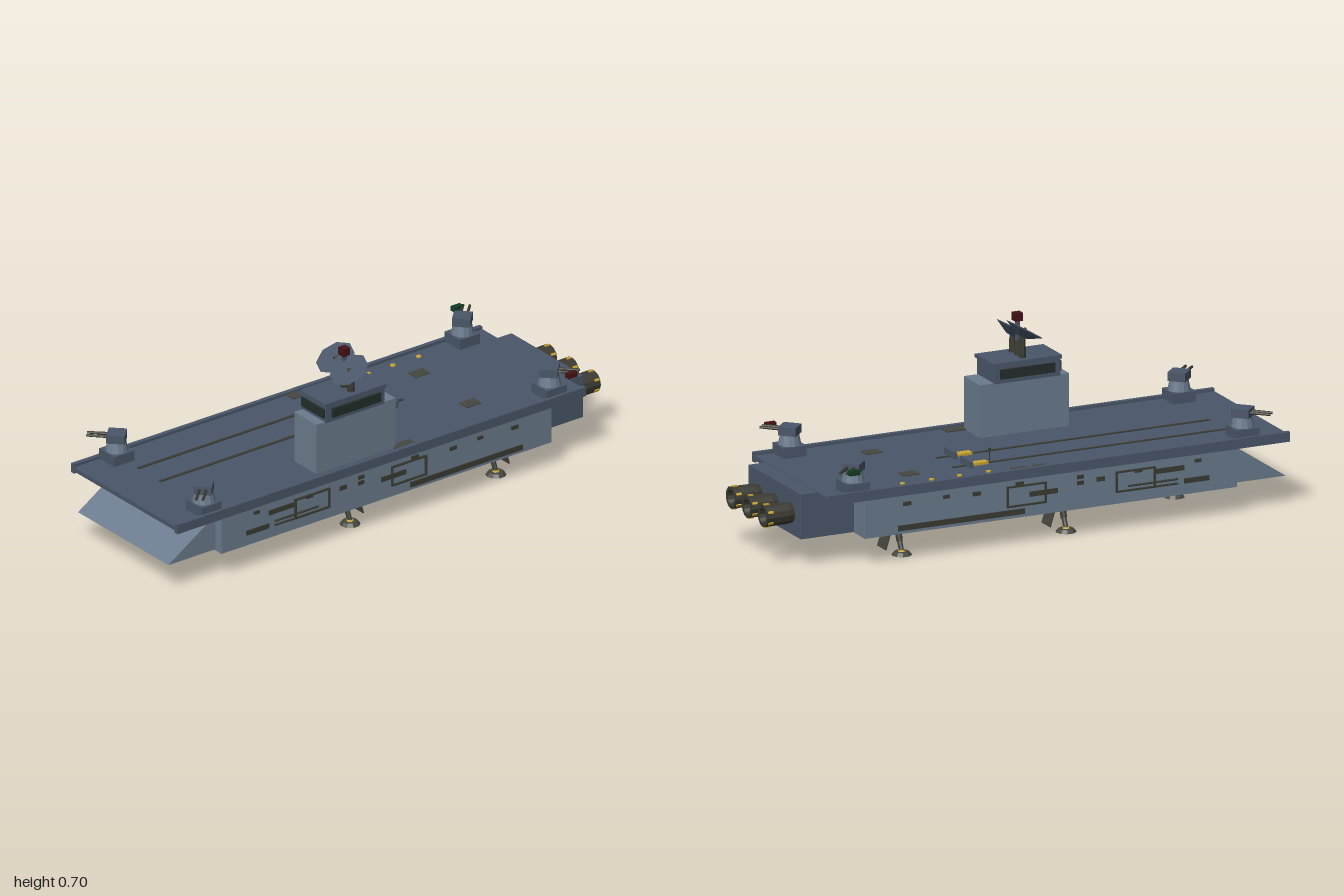
import * as THREE from 'three';

const mat = (color) => new THREE.MeshStandardMaterial({ color, flatShading: true });

export function createModel() {
  const hullMat = mat(0x6b7b8d), deckMat = mat(0x4a5769), darkMat = mat(0x3b3b33), padMat = mat(0x45463f),
    gold = mat(0xc9a632), glass = mat(0x232d2b), red = mat(0x451216), green = mat(0x123c24);
  const model = new THREE.Group();
  model.name = 'carrierShip';

  const add = (name, geo, m, x, y, z, parent = model) => {
    const mesh = new THREE.Mesh(geo, m);
    mesh.name = name;
    mesh.position.set(x, y, z);
    parent.add(mesh);
    return mesh;
  };
  // Box given by its extents
  const box = (name, m, x0, x1, y0, y1, z0, z1, parent) => add(name, new THREE.BoxGeometry(x1 - x0, y1 - y0, z1 - z0),
    m, (x0 + x1) / 2, (y0 + y1) / 2, (z0 + z1) / 2, parent);
  const cyl = (name, m, rTop, rBottom, h, sides, x, y, z, parent) =>
    add(name, new THREE.CylinderGeometry(rTop, rBottom, h, sides), m, x, y, z, parent);
  // Tapered rod between two points
  const rod = (name, m, a, b, ra, rb, parent) => {
    const p = new THREE.Vector3(...a), q = new THREE.Vector3(...b), d = q.clone().sub(p);
    const mesh = cyl(name, m, rb, ra, d.length(), 8, 0, 0, 0, parent);
    mesh.position.copy(p).add(q).multiplyScalar(0.5);
    mesh.quaternion.setFromUnitVectors(new THREE.Vector3(0, 1, 0), d.normalize());
    return mesh;
  };

  // Hull, bow ramp and stern block
  box('hull', hullMat, -0.3, 0.3, 0.103, 0.256, -0.68, 0.79);
  const wedge = new THREE.Shape([[0.78, 0.108], [1, 0.108], [0.79, 0.244], [0.78, 0.244]].map((p) => new THREE.Vector2(...p)));
  const wedgeGeo = new THREE.ExtrudeGeometry(wedge, { depth: 0.53, bevelEnabled: false }).rotateY(-Math.PI / 2).translate(0.265, 0, 0);
  add('bowRamp', wedgeGeo, hullMat, 0, 0, 0);
  box('sternBlock', deckMat, -0.21, 0.21, 0.105, 0.27, -0.89, -0.67);

  // Flight deck with raised side edges
  box('deckUnderside', deckMat, -0.3, 0.3, 0.247, 0.26, -0.81, 0.98);
  box('flightDeck', deckMat, -0.31, 0.31, 0.256, 0.272, -0.825, 0.995);
  for (const s of [-1, 1]) add('deckEdge', new THREE.BoxGeometry(0.017, 0.036, 1.82), deckMat, s * 0.3035, 0.265, 0.085);

  // Launch tracks, shuttles and blast deflectors
  for (const x of [-0.15, -0.02]) {
    box('launchTrack', darkMat, x - 0.006, x + 0.006, 0.27, 0.275, -0.26, 0.82);
    box('shuttle', gold, x - 0.015, x + 0.015, 0.27, 0.281, -0.18, -0.125);
    box('blastDeflector', deckMat, x - 0.042, x + 0.042, 0.27, 0.298, -0.21, -0.2);
  }
  rod('deckMast', darkMat, [-0.12, 0.27, -0.1], [-0.12, 0.312, -0.1], 0.002, 0.002);
  box('deckMastHead', darkMat, -0.124, -0.116, 0.309, 0.316, -0.104, -0.096);

  // Deck hatches, pads and lamps
  for (const x of [-0.15, 0.15]) box('deckHatch', padMat, x - 0.024, x + 0.024, 0.27, 0.275, -0.465, -0.4);
  box('deckPad', padMat, -0.298, -0.254, 0.27, 0.276, -0.085, -0.025);
  box('deckPad', padMat, -0.298, -0.254, 0.27, 0.276, 0.005, 0.05);
  box('deckPad', padMat, 0.25, 0.293, 0.27, 0.276, -0.085, 0);
  for (const z of [-0.51, -0.395, -0.285, -0.17]) cyl('deckLamp', gold, 0.01, 0.01, 0.006, 8, -0.255, 0.274, z);

  // Island tower and bridge
  const island = new THREE.Group();
  island.name = 'island';
  model.add(island);
  box('tower', hullMat, 0.137, 0.268, 0.27, 0.467, -0.01, 0.342, island);
  box('bridge', deckMat, 0.131, 0.275, 0.465, 0.53, 0.045, 0.305, island);
  box('bridgeSideWindows', glass, 0.122, 0.284, 0.482, 0.517, 0.065, 0.28, island);
  box('bridgeFrontWindow', glass, 0.137, 0.268, 0.482, 0.517, 0.29, 0.312, island);
  box('bridgeRoof', deckMat, 0.128, 0.278, 0.528, 0.541, 0.038, 0.31, island);

  // Posts, tilted dishes and beacon
  for (const [x, y] of [[0.163, 0.643], [0.243, 0.626]]) {
    cyl('dishPost', darkMat, 0.011, 0.014, y - 0.555, 8, x, (y + 0.525) / 2, 0.17, island);
    const dish = cyl('dish', deckMat, 0.075, 0.02, 0.028, 8, x, y - 0.012, 0.172, island);
    dish.rotation.x = Math.PI / 6;
    cyl('dishFeed', darkMat, 0.003, 0.01, 0.008, 6, 0, 0.017, 0, dish);
  }
  cyl('mastPost', darkMat, 0.011, 0.014, 0.06, 8, 0.203, 0.565, 0.17, island);
  box('mast', deckMat, 0.196, 0.21, 0.585, 0.67, 0.163, 0.177, island);
  box('beacon', red, 0.188, 0.218, 0.667, 0.697, 0.155, 0.185, island);

  // Corner gun turrets
  for (const sx of [-1, 1]) for (const [z, sz] of [[0.835, 1], [-0.705, -1]]) {
    const turret = new THREE.Group();
    turret.name = 'turret';
    turret.position.set(sx * 0.255, 0, z);
    model.add(turret);
    box('turretBase', deckMat, -0.045, 0.045, 0.27, 0.311, -0.045, 0.045, turret);
    cyl('turretDrum', hullMat, 0.034, 0.042, 0.038, 12, 0, 0.329, 0, turret);
    const head = new THREE.Group();
    head.name = 'turretHead';
    head.rotation.y = Math.atan2(sx, sz);
    turret.add(head);
    box('gunHouse', deckMat, -0.033, 0.033, 0.348, 0.38, -0.033, 0.033, head);
    for (const x of [-0.012, 0.012]) rod('gunBarrel', darkMat, [x, 0.366, 0.02], [x, 0.366, 0.107], 0.006, 0.005, head);
    if (sz < 0) add('navigationLight', new THREE.BoxGeometry(0.022, 0.018, 0.04), sx > 0 ? red : green, sx * 0.08, 0.366, -0.037, turret);
  }

  // Engines
  for (const x of [-0.128, 0, 0.128]) {
    const engine = new THREE.Group();
    engine.name = 'engine';
    engine.position.set(x, 0.184, 0);
    model.add(engine);
    const profile = [[0, -0.88], [0.034, -0.88], [0.04, -0.91], [0.041, -1], [0.028, -1], [0.022, -0.965], [0, -0.965]];
    const nozzle = new THREE.LatheGeometry(profile.map(([r, z]) => new THREE.Vector2(r, -z)), 12);
    add('nozzle', nozzle, darkMat, 0, 0, 0, engine).rotation.x = -Math.PI / 2;
    for (let i = 0; i < 6; i++) {
      const a = (i + 0.5) * Math.PI / 3;
      const lug = add('nozzleLug', new THREE.BoxGeometry(0.014, 0.009, 0.02), gold, Math.cos(a) * 0.037, Math.sin(a) * 0.037, -0.986, engine);
      lug.rotation.z = a;
    }
  }

  // Landing gear: one nose leg and two outward-leaning pairs
  const gear = [[0, 0.64, 0, 0.05], [1, 0.155, 0.035, 0], [-1, 0.155, 0.035, 0], [1, -0.495, 0.035, 0], [-1, -0.495, 0.035, 0]];
  for (const [s, z, dx, dz] of gear) {
    const leg = new THREE.Group();
    leg.name = 'landingGear';
    leg.position.set(s * 0.183, 0, z);
    model.add(leg);
    box('gearMount', darkMat, -0.032, 0.032, 0.096, 0.106, -0.035, 0.035, leg);
    rod('strut', darkMat, [s * dx, 0.01, dz], [s * dx * 0.4, 0.055, dz * 0.4], 0.009, 0.01, leg);
    rod('strutSleeve', darkMat, [s * dx * 0.5, 0.045, dz * 0.5], [0, 0.102, 0], 0.012, 0.014, leg);
    cyl('foot', padMat, 0.027, 0.038, 0.012, 10, s * dx, 0.006, dz, leg);
    cyl('ankle', gold, 0.011, 0.014, 0.006, 8, s * dx, 0.014, dz, leg);
    const door = add('gearDoor', new THREE.BoxGeometry(0.066, 0.08, 0.005), padMat, 0, 0.061, -0.05, leg);
    door.rotation.x = 0.3;
  }

  // Belly vents
  box('bellyVent', padMat, -0.035, 0.035, 0.099, 0.105, 0.39, 0.54);
  for (let i = 0; i < 4; i++) box('ventSlot', darkMat, -0.028, 0.028, 0.096, 0.104, 0.4 + i * 0.035, 0.425 + i * 0.035);

  // Side fittings, mirrored on both flanks: [z centre, y, length, height]
  const fittings = [[0.63, 0.153, 0.1, 0.018], [0.525, 0.203, 0.11, 0.018], [0.025, 0.184, 0.11, 0.018], [-0.3, 0.125, 0.5, 0.02],
    [0.635, 0.222, 0.025, 0.012], [0.4, 0.216, 0.03, 0.014], [0.25, 0.204, 0.03, 0.016], [0.17, 0.222, 0.025, 0.014],
    [0.17, 0.2, 0.025, 0.014], [-0.07, 0.228, 0.03, 0.014], [-0.24, 0.213, 0.03, 0.014], [-0.36, 0.218, 0.025, 0.012], [-0.515, 0.213, 0.03, 0.014]];
  for (const s of [-1, 1]) {
    for (const [z, y, l, h] of fittings) add('sidePanel', new THREE.BoxGeometry(0.008, h, l), darkMat, s * 0.301, y, z);
    for (const z of [0.388, -0.043]) {
      for (const e of [-1, 1]) {
        add('doorFrameRail', new THREE.BoxGeometry(0.014, 0.006, 0.155), darkMat, s * 0.301, 0.184 + e * 0.036, z);
        add('doorFramePost', new THREE.BoxGeometry(0.014, 0.078, 0.006), darkMat, s * 0.301, 0.184, z + e * 0.075);
      }
    }
    for (const y of [0.148, 0.164]) rod('sidePipe', darkMat, [s * 0.303, y, 0.36], [s * 0.303, y, 0.555], 0.004, 0.004);
  }
  return model;
}
